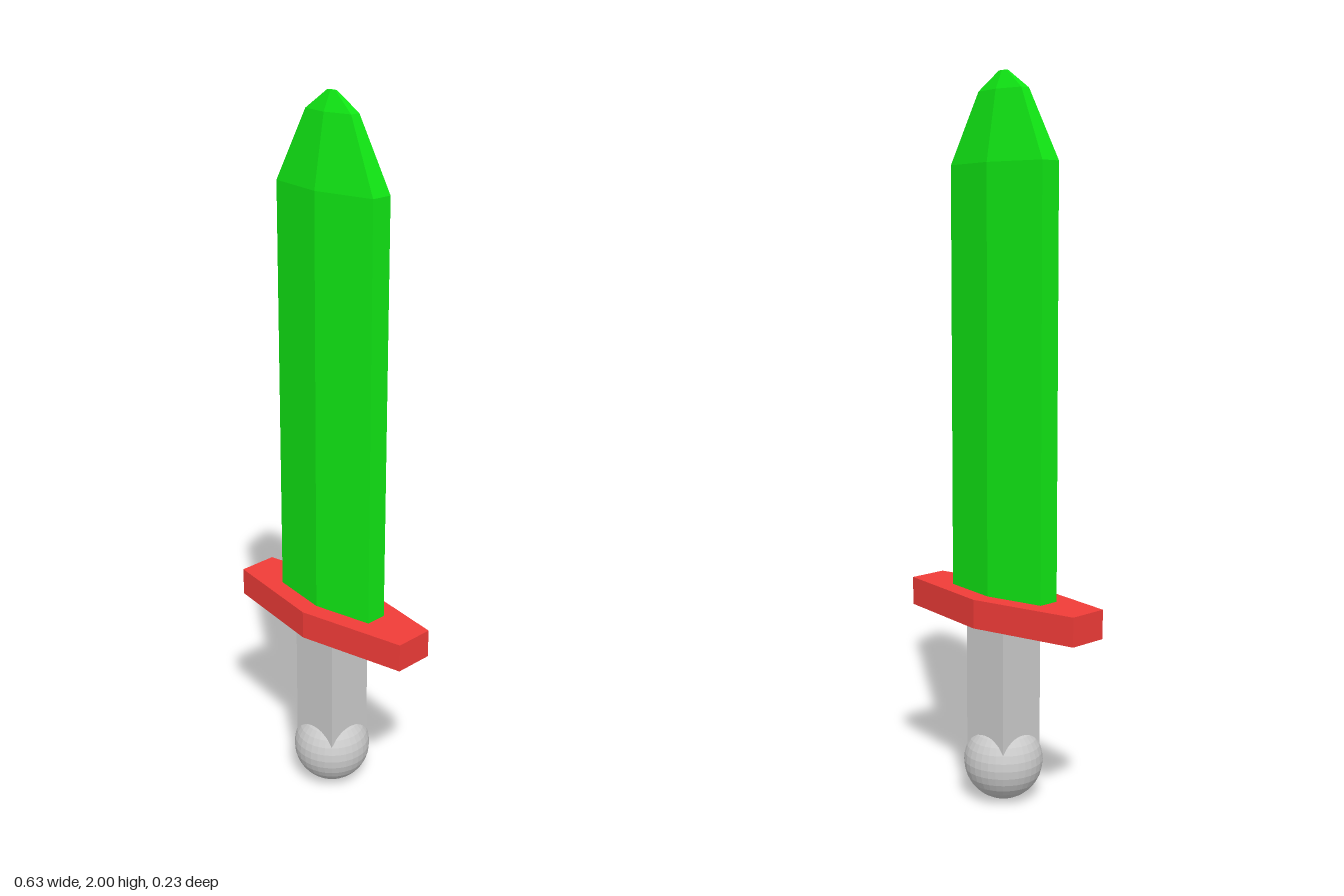
import * as THREE from 'three';

export function createModel() {
  const sword = new THREE.Group();
  sword.name = 'sword';

  const add = (name, geometry, color, y = 0) => {
    const mesh = new THREE.Mesh(geometry, new THREE.MeshStandardMaterial({ color, flatShading: true }));
    mesh.name = name;
    mesh.position.y = y;
    sword.add(mesh);
    return mesh;
  };

  // Ball pommel
  add('pommel', new THREE.SphereGeometry(0.111, 32, 16), 0xcccccc, 0.111);

  // Square grip, sunk into the pommel
  add('grip', new THREE.BoxGeometry(0.144, 0.41, 0.144), 0xcccccc, 0.315);

  // Flattened six-sided crossguard
  const guard = add('crossguard', new THREE.CylinderGeometry(0.365, 0.365, 0.08, 6), 0xf03c38, 0.55);
  guard.scale.z = 0.115 / 0.365;

  // Flattened six-sided blade, tapering in two steps to a blunt tip
  const profile = [[0, 0.57], [0.2, 0.57], [0.2, 1.76], [0.093, 1.95], [0.017, 2], [0, 2]]
    .map(([r, y]) => new THREE.Vector2(r, y));
  const blade = add('blade', new THREE.LatheGeometry(profile, 6), 0x10e614);
  blade.scale.z = 0.31;

  return sword;
}
